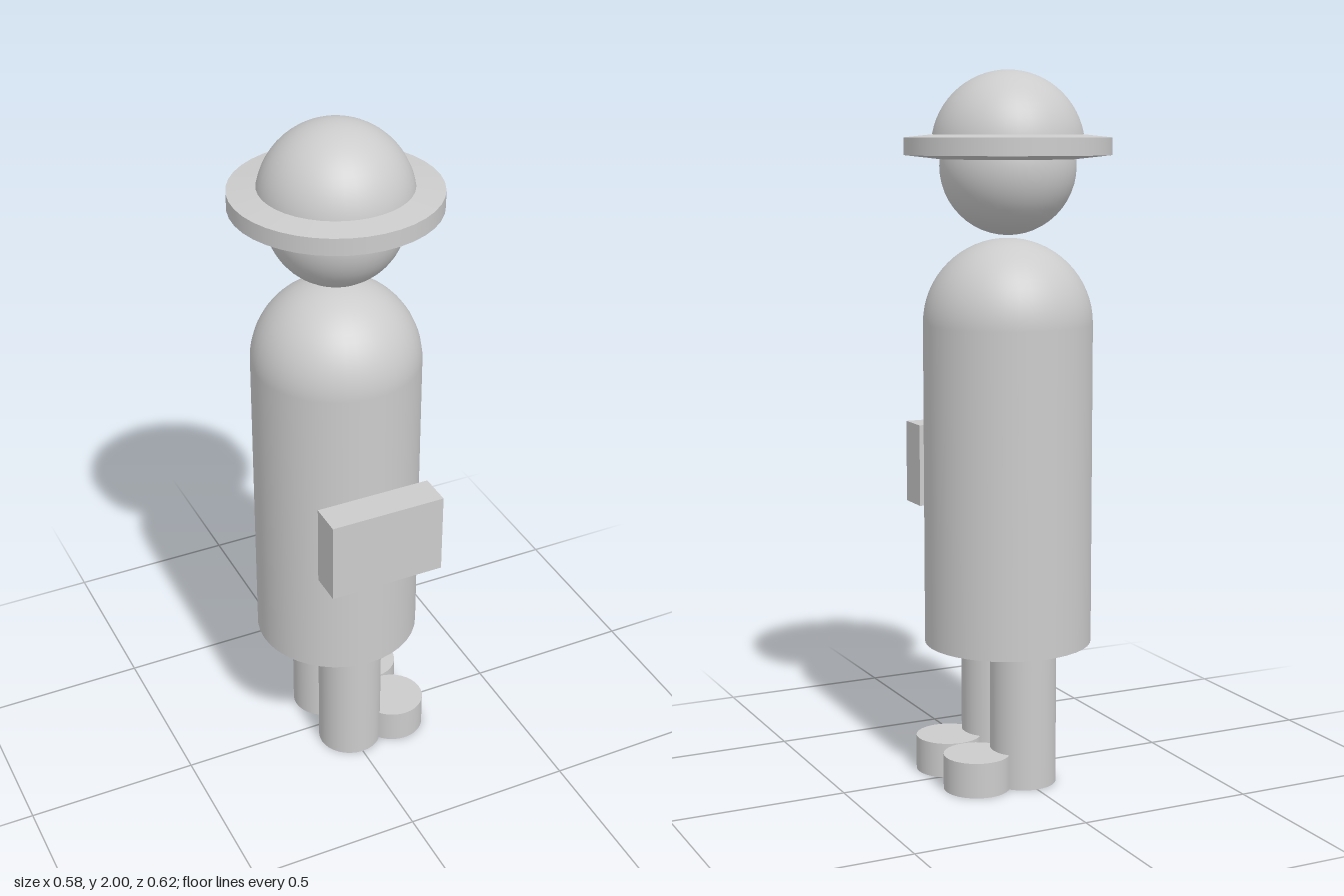
import * as THREE from 'three';

const Z = -0.024; // axis of the body and head
const material = new THREE.MeshStandardMaterial({ color: 0xcccccc });

export function createModel() {
  const model = new THREE.Group();

  function add(name, geometry, x, y, z) {
    const mesh = new THREE.Mesh(geometry, material);
    mesh.name = name;
    mesh.position.set(x, y, z);
    model.add(mesh);
    return mesh;
  }

  // Long coat: cylinder with a domed shoulder
  add('coat', new THREE.CylinderGeometry(0.238, 0.238, 0.912, 40), 0, 0.846, Z);
  add('shoulders', new THREE.SphereGeometry(0.238, 40, 16, 0, Math.PI * 2, 0, Math.PI / 2), 0, 1.302, Z);

  // Head and hat
  add('head', new THREE.SphereGeometry(0.19, 40, 24), 0, 1.738, Z);
  add('hatCrown', new THREE.SphereGeometry(0.213, 40, 16, 0, Math.PI * 2, 0, Math.PI / 2), 0, 1.787, Z);

  // Brim thins slightly toward its rim; each band is separate to keep edges sharp
  const brim = [[0, 1.757], [0.19, 1.757], [0.288, 1.768], [0.288, 1.816], [0.205, 1.825]];
  for (let i = 0; i < brim.length - 1; i++) {
    const band = brim.slice(i, i + 2).map(([r, y]) => new THREE.Vector2(r, y));
    add('hatBrim', new THREE.LatheGeometry(band, 40), 0, 0, Z);
  }

  // Box held against the front of the coat
  add('box', new THREE.BoxGeometry(0.336, 0.238, 0.097), 0, 0.871, 0.2635);

  // Legs side by side, each with a round foot pointing to +x
  for (const side of [1, -1]) {
    const z = Z + side * 0.096;
    add('leg', new THREE.CylinderGeometry(0.094, 0.094, 0.4, 32), -0.001, 0.2, z);
    add('foot', new THREE.CylinderGeometry(0.094, 0.094, 0.1, 32), 0.144, 0.05, z);
  }

  return model;
}
